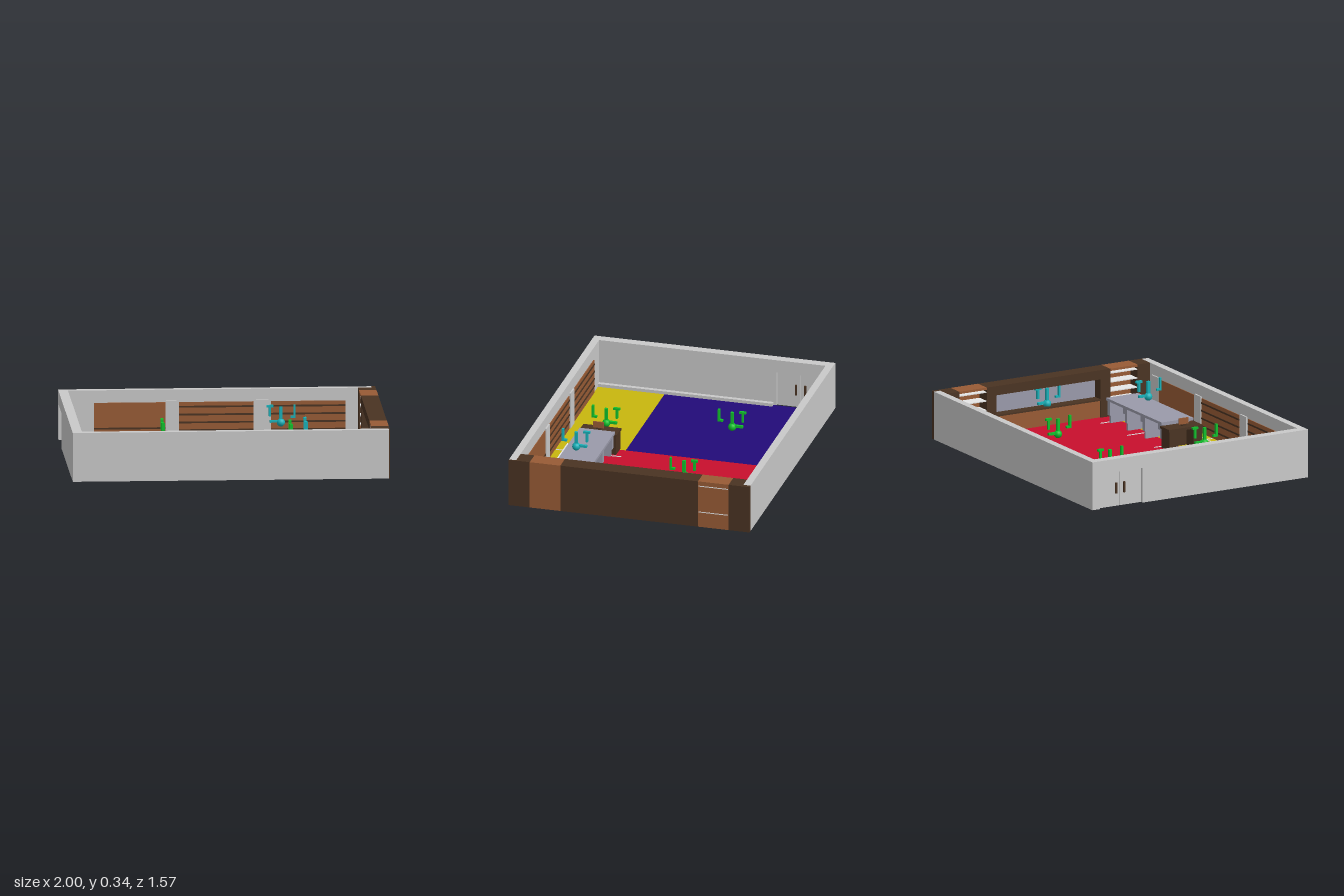
import * as THREE from 'three';

const mat = (name, color, opts = {}) => {
  const m = new THREE.MeshStandardMaterial({ color, ...opts });
  m.name = name;
  return m;
};

export function createModel() {
  const wall = mat('wallGrey', 0xc9c9c9);
  const dark = mat('darkWood', 0x4a3322);
  const wood = mat('lightWood', 0x985b35);
  const blue = mat('blueFloor', 0x220a78);
  const red = mat('redFloor', 0xc80f2d);
  const yellow = mat('yellowFloor', 0xc8b60e);
  const green = mat('green', 0x10c02c);
  const teal = mat('teal', 0x18b0b8);
  const steel = mat('tableGrey', 0x9a9aaa);
  const white = mat('white', 0xe6e6e6);

  const root = new THREE.Group();
  root.name = 'room';
  const group = (name, parent = root) => {
    const g = new THREE.Group();
    g.name = name;
    parent.add(g);
    return g;
  };
  // Box given by its limits on each axis
  const box = (parent, name, m, x0, x1, y0, y1, z0, z1) => {
    const b = new THREE.Mesh(new THREE.BoxGeometry(x1 - x0, y1 - y0, z1 - z0), m);
    b.position.set((x0 + x1) / 2, (y0 + y1) / 2, (z0 + z1) / 2);
    b.name = name;
    parent.add(b);
    return b;
  };
  const H = 0.32, B = 0.008;

  // Floor areas
  const floor = group('floor');
  box(floor, 'blueFloor', blue, -0.94, -0.01, 0, 0.01, -0.74, 0.305);
  box(floor, 'redFloor', red, -0.01, 0.9, 0, 0.01, -0.74, 0.455);
  box(floor, 'yellowFloorLeft', yellow, -0.94, -0.01, 0, 0.01, 0.305, 0.74);
  box(floor, 'yellowFloorRight', yellow, -0.01, 0.9, 0, 0.01, 0.455, 0.74);

  // Thin lines on the floor
  const lines = group('floorLines');
  box(lines, 'longLine', white, -0.01, 0.89, 0.01, 0.014, 0.68, 0.688);
  box(lines, 'shortLine', white, 0.77, 0.89, 0.01, 0.014, 0.493, 0.498);
  for (const x of [0.097, 0.432, 0.768])
    box(lines, 'crossLine', white, x - 0.003, x + 0.003, 0.01, 0.014, 0.305, 0.73);

  // Plain outer walls
  const walls = group('walls');
  box(walls, 'frontWall', wall, -1, 0.994, B, H, 0.74, 0.787);
  box(walls, 'backWall', wall, -1, 0.975, B, H, -0.787, -0.74);
  box(walls, 'leftWall', wall, -1, -0.94, B, H, -0.42, 0.74);
  box(walls, 'doorJamb', wall, -1, -0.94, B, H, -0.74, -0.73);
  box(walls, 'doorLintel', wall, -1, -0.94, 0.235, H, -0.73, -0.42);
  box(walls, 'wallLining', wall, -0.94, -0.912, B, 0.03, -0.4, 0.74);

  // Double door in the left wall
  const door = group('doubleDoor');
  for (const s of [-1, 1]) {
    const c = -0.575 + s * 0.0775;
    box(door, 'doorLeaf', wall, -0.98, -0.955, B, 0.235, c - 0.076, c + 0.076);
    const h = -0.575 + s * 0.03;
    box(door, 'doorHandle', dark, -0.99, -0.945, 0.09, 0.16, h - 0.006, h + 0.006);
  }

  // Wood panels between columns, the same on both long walls by a half turn
  const panelSide = (name) => {
    const g = group(name);
    [-0.56, -0.005, 0.575].forEach((x, i) => {
      const a = x - 0.235, b = x + 0.235;
      box(g, 'woodPanel', wood, a, b, 0.012, 0.24, -0.742, -0.735);
      const heights = i === 0 ? [0.07] : [0.055, 0.105, 0.155, 0.205];
      for (const y of heights) box(g, 'slat', dark, a, b, y, y + 0.011, -0.736, -0.731);
    });
    for (const x of [-0.815, -0.283, 0.285])
      box(g, 'column', wall, x - 0.04, x + 0.04, 0.01, 0.25, -0.742, -0.73);
    return g;
  };
  panelSide('backPanels');
  panelSide('frontPanels').rotation.y = Math.PI;

  // Right side: dark wood cabinet wall
  const cab = group('cabinetWall');
  box(cab, 'backEnd', dark, 0.89, 1, B, H, -0.74, -0.65);
  box(cab, 'backCap', dark, 0.975, 1, B, H, -0.787, -0.74);
  box(cab, 'frontEnd', dark, 0.89, 1, B, H, 0.65, 0.74);
  box(cab, 'frontCap', dark, 0.994, 1, B, H, 0.74, 0.787);
  box(cab, 'middleBacking', dark, 0.965, 1, B, H, -0.45, 0.45);
  box(cab, 'topBeam', dark, 0.89, 0.965, 0.26, H, -0.45, 0.45);
  for (const s of [-1, 1])
    box(cab, 'pillar', dark, 0.89, 0.965, B, 0.26, s * 0.415 - 0.035, s * 0.415 + 0.035);
  box(cab, 'counter', wood, 0.9, 0.965, B, 0.12, -0.38, 0.38);
  box(cab, 'counterTop', dark, 0.89, 0.965, 0.12, 0.13, -0.38, 0.38);
  box(cab, 'nicheBack', steel, 0.958, 0.966, 0.13, 0.26, -0.38, 0.38);

  // Open bookcases at both ends of the cabinet wall
  for (const s of [-1, 1]) {
    const g = group(s < 0 ? 'backBookcase' : 'frontBookcase', cab);
    const z0 = s * 0.55 - 0.1, z1 = s * 0.55 + 0.1;
    box(g, 'bookcaseBack', wood, 0.98, 1, B, H, z0, z1);
    box(g, 'bookcaseTop', wood, 0.89, 0.98, 0.305, H, z0, z1);
    box(g, 'lowerCupboard', wood, 0.895, 0.98, B, 0.1, z0, z1);
    for (const y of [0.11, 0.17, 0.23, 0.288])
      box(g, 'shelf', white, 0.895, 0.98, y - 0.003, y + 0.003, z0, z1);
    if (s < 0)
      for (const y of [0.11, 0.288])
        box(g, 'shelfEdge', white, 0.999, 1.001, y - 0.003, y + 0.003, z0 + 0.005, z1 - 0.005);
  }

  // Long table with panel legs
  const table = group('longTable');
  box(table, 'tableTop', steel, 0.08, 0.77, 0.155, 0.172, 0.35, 0.582);
  for (const x of [0.1, 0.32, 0.54, 0.755]) {
    box(table, 'tableLeg', steel, x - 0.008, x + 0.008, 0.01, 0.155, 0.37, 0.56);
    box(table, 'legPanel', steel, x - 0.015, x + 0.015, 0.06, 0.155, 0.36, 0.37);
  }
  box(table, 'middlePanel', steel, 0.1, 0.755, 0.06, 0.155, 0.46, 0.47);

  // Dark desk at the table end, with a small screen
  const desk = group('desk');
  box(desk, 'deskTop', dark, -0.032, 0.08, 0.135, 0.15, 0.34, 0.588);
  box(desk, 'deskNearPedestal', dark, -0.025, 0.075, 0.01, 0.135, 0.345, 0.41);
  box(desk, 'deskFarPedestal', dark, -0.025, 0.075, 0.01, 0.135, 0.52, 0.583);
  box(desk, 'deskPanel', dark, 0.06, 0.075, 0.01, 0.135, 0.41, 0.52);
  box(desk, 'screen', wood, 0.015, 0.024, 0.16, 0.2, 0.44, 0.51);
  box(desk, 'screenFoot', dark, 0.01, 0.03, 0.15, 0.16, 0.46, 0.49);

  // Hovering abstract markers: ball, stem and side bars in one plane
  const marker = (name, m, x, y, z, alongX) => {
    const g = group(name);
    const ball = new THREE.Mesh(new THREE.SphereGeometry(0.026, 16, 10), m);
    ball.name = 'markerBall';
    ball.position.y = 0.03;
    g.add(ball);
    box(g, 'markerStem', m, -0.01, 0.01, 0.05, 0.13, -0.009, 0.009);
    box(g, 'upperBar', m, -0.09, -0.048, 0.128, 0.142, -0.009, 0.009);
    box(g, 'upperPost', m, -0.076, -0.062, 0.07, 0.13, -0.009, 0.009);
    box(g, 'lowerBar', m, -0.07, -0.02, 0.03, 0.045, -0.009, 0.009);
    box(g, 'sidePost', m, 0.08, 0.093, 0.07, 0.142, -0.009, 0.009);
    box(g, 'sideFoot', m, 0.06, 0.093, 0.06, 0.073, -0.009, 0.009);
    g.position.set(x, y, z);
    if (!alongX) g.rotation.y = -Math.PI / 2;
  };
  marker('blueAreaMarker', green, -0.37, 0.06, -0.29, false);
  marker('redAreaMarker', green, 0.432, 0.06, -0.2, false);
  marker('yellowAreaMarker', green, -0.215, 0.06, 0.49, false);
  marker('tableMarker', teal, 0.485, 0.198, 0.49, false);
  marker('wallMarker', teal, 0.4, 0.08, -0.7, true);
  marker('nicheMarker', teal, 0.925, 0.115, 0.01, false);

  return root;
}
